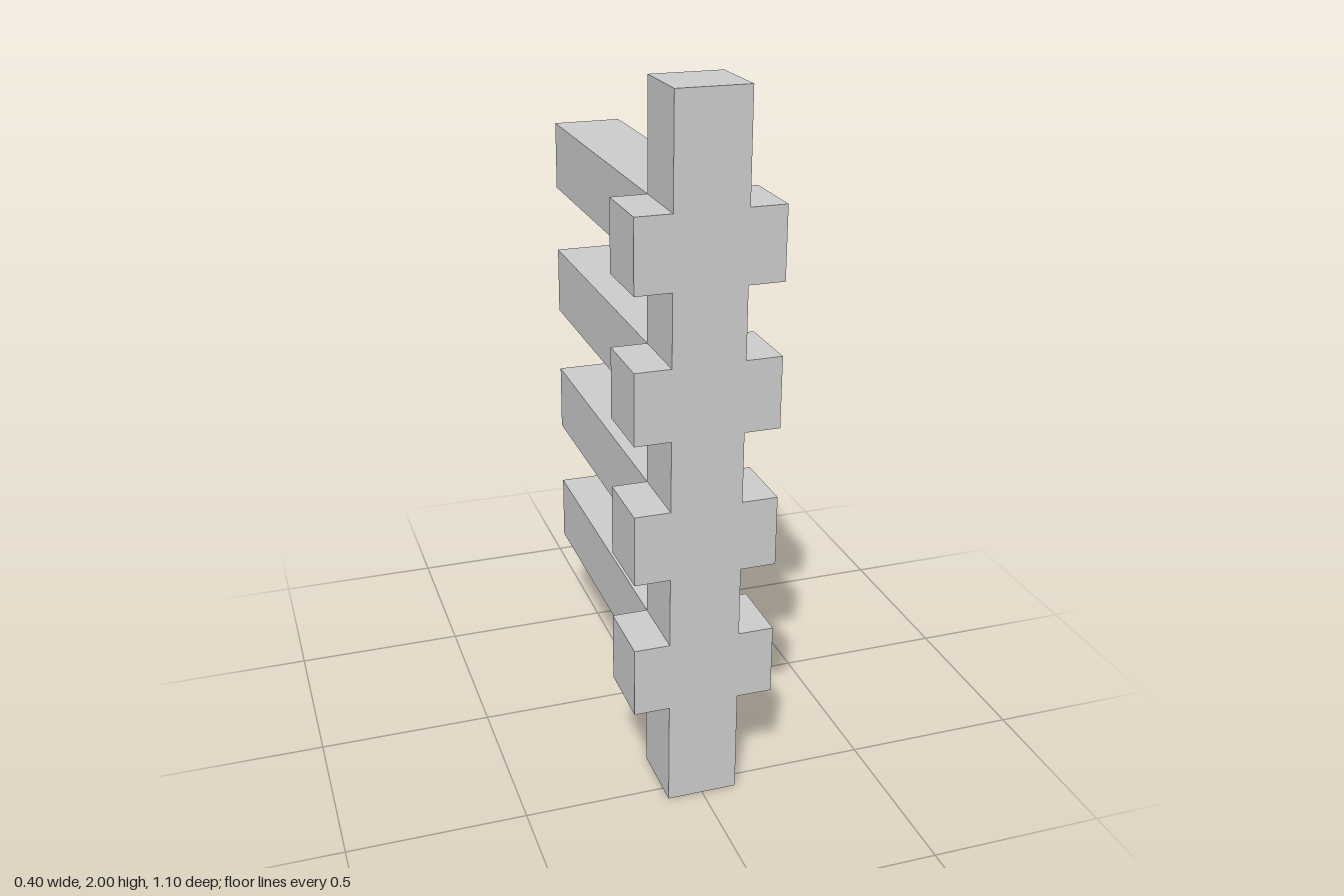
import * as THREE from 'three';

const T = 0.2; // square section shared by post and arms
const POST_Z = 0.45;
const LEVELS = [0.4, 0.8, 1.2, 1.6];

export function createModel() {
  const model = new THREE.Group();
  model.name = 'postWithArms';
  const material = new THREE.MeshStandardMaterial({ color: 0xcccccc, flatShading: true });

  function addBox(name, size, position, parent) {
    const mesh = new THREE.Mesh(new THREE.BoxGeometry(...size), material);
    mesh.name = name;
    mesh.position.set(...position);
    parent.add(mesh);
  }

  // Upright post at the front
  addBox('post', [T, 2, T], [0, 1, POST_Z], model);

  // Each level: a long arm to the back and a short stub on either side
  LEVELS.forEach((y, i) => {
    const level = new THREE.Group();
    level.name = `level${i + 1}`;
    level.position.y = y;
    addBox('backArm', [T, T, 0.9], [0, 0, -0.1], level);
    addBox('leftStub', [0.1, T, T], [0.15, 0, POST_Z], level);
    addBox('rightStub', [0.1, T, T], [-0.15, 0, POST_Z], level);
    model.add(level);
  });

  return model;
}
